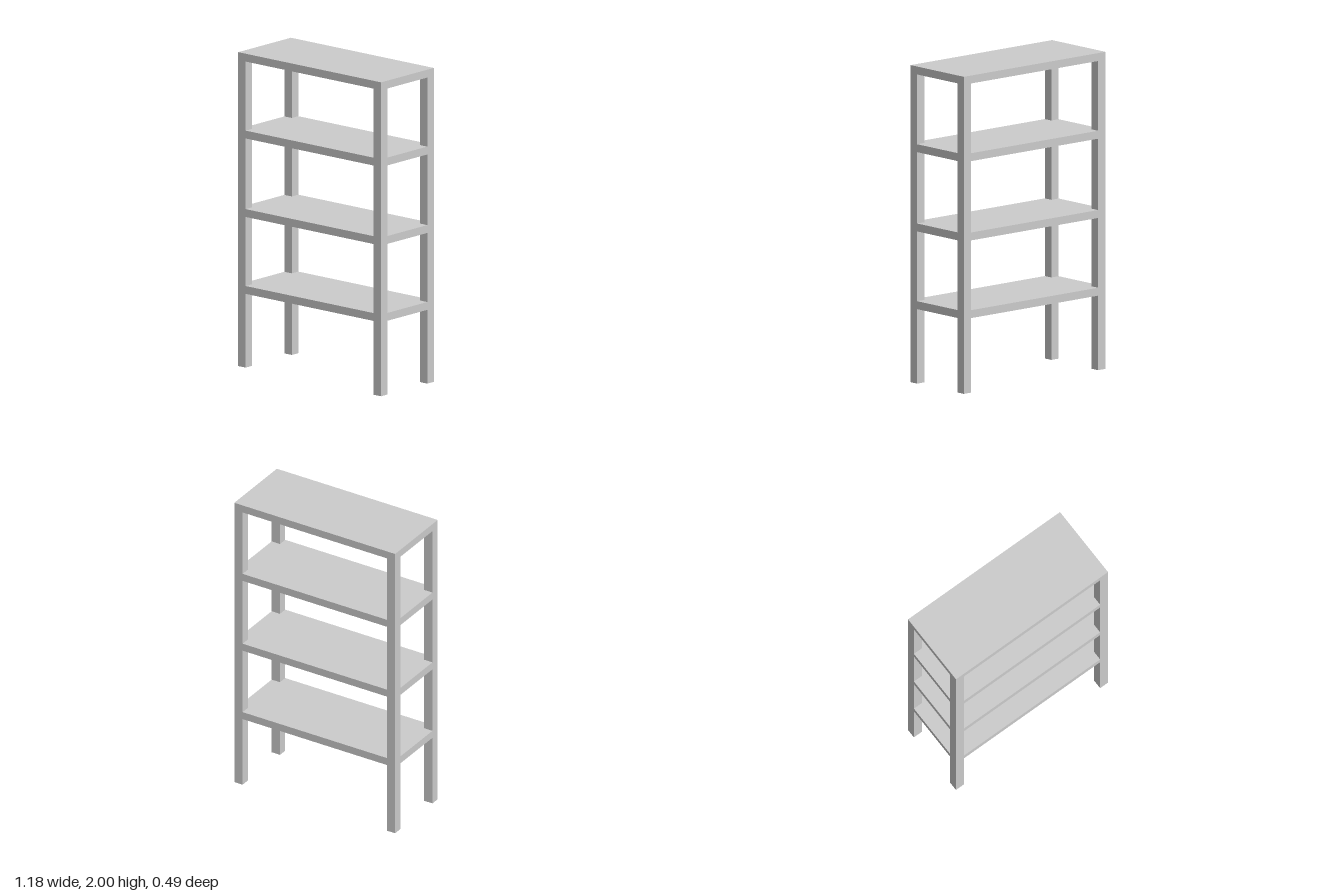
import * as THREE from 'three';

const HALF_W = 0.588, HALF_D = 0.247, HEIGHT = 2;
const POST = 0.061, THICK = 0.05;
const SHELF_TOPS = [0.52, 1.01, 1.51, 2];

// Square post, hollow and open at its foot
function postGeometry() {
  const geo = new THREE.BoxGeometry(POST, HEIGHT, POST);
  const index = Array.from(geo.index.array);
  index.splice(18, 6); // drop the bottom face
  geo.setIndex(index);
  geo.clearGroups();
  return geo.translate(0, HEIGHT / 2, 0);
}

// Shelf board, notched at the corners to fit around the posts
function shelfGeometry() {
  const w = HALF_W, d = HALF_D, a = w - POST, b = d - POST;
  const outline = [
    [a, -d], [a, -b], [w, -b], [w, b], [a, b], [a, d],
    [-a, d], [-a, b], [-w, b], [-w, -b], [-a, -b], [-a, -d],
  ].map(([x, y]) => new THREE.Vector2(x, y));
  const geo = new THREE.ExtrudeGeometry(new THREE.Shape(outline), { depth: THICK, bevelEnabled: false });
  return geo.rotateX(-Math.PI / 2); // extrusion now runs upward
}

export function createModel() {
  const model = new THREE.Group();
  model.name = 'shelvingUnit';
  const boardMaterial = new THREE.MeshStandardMaterial({ color: 0xcccccc });
  const postMaterial = new THREE.MeshStandardMaterial({ color: 0xcccccc, side: THREE.DoubleSide });

  // Four corner posts
  const post = postGeometry();
  for (const [side, sx] of [['Left', 1], ['Right', -1]]) {
    for (const [end, sz] of [['front', 1], ['back', -1]]) {
      const mesh = new THREE.Mesh(post, postMaterial);
      mesh.name = `${end}${side}Post`;
      mesh.position.set(sx * (HALF_W - POST / 2), 0, sz * (HALF_D - POST / 2));
      model.add(mesh);
    }
  }

  // Shelves, the last one flush with the post tops
  const shelf = shelfGeometry();
  SHELF_TOPS.forEach((top, i) => {
    const mesh = new THREE.Mesh(shelf, boardMaterial);
    mesh.name = i === SHELF_TOPS.length - 1 ? 'topBoard' : `shelf${i + 1}`;
    mesh.position.y = top - THICK;
    model.add(mesh);
  });

  return model;
}
